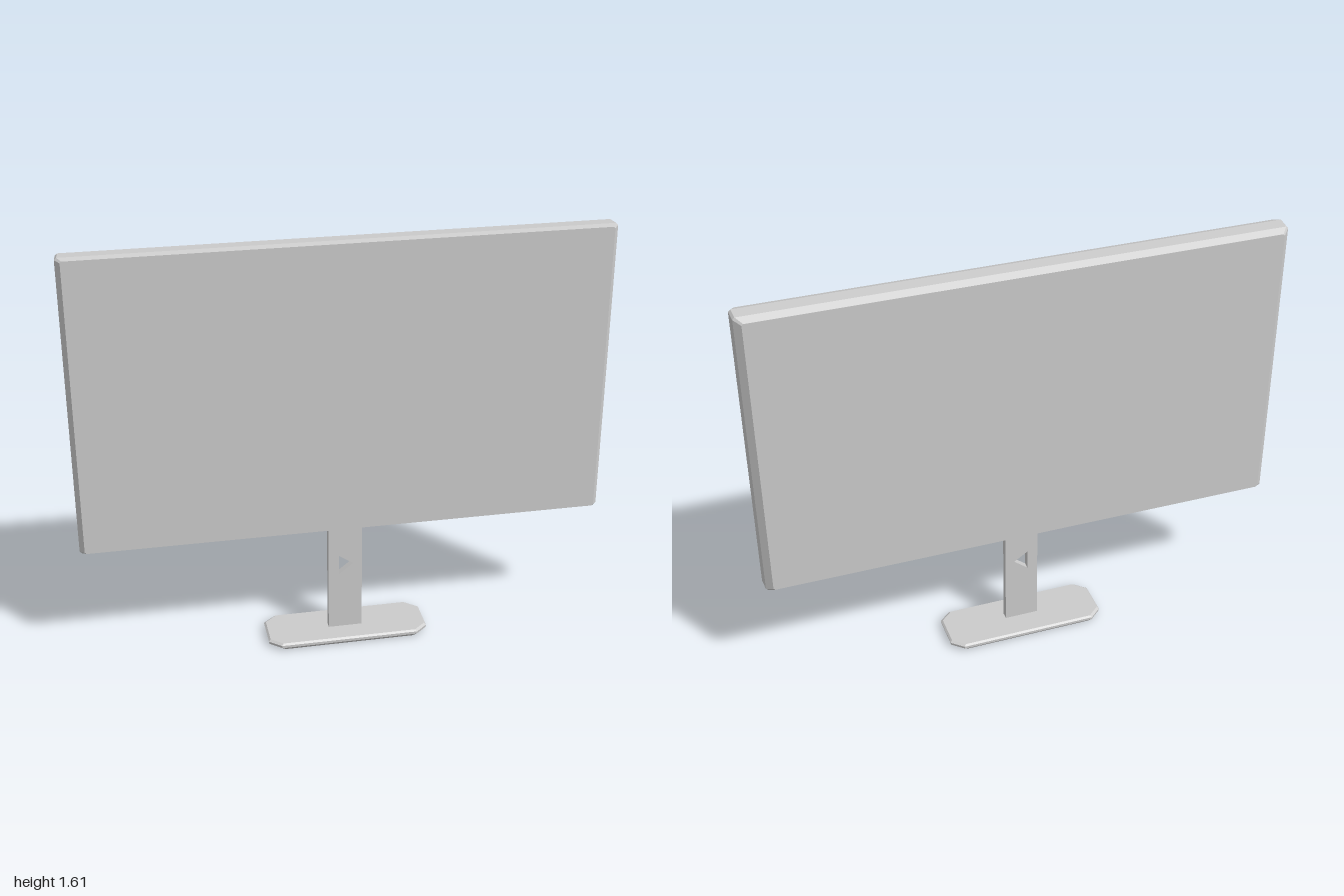
import * as THREE from 'three';

const material = new THREE.MeshStandardMaterial({ color: 0xcccccc, flatShading: true });

// Counter-clockwise rectangle with cut corners
function cutRect(hw, hh, cx, cy) {
  return [
    [hw, -hh + cy], [hw, hh - cy], [hw - cx, hh], [-hw + cx, hh],
    [-hw, hh - cy], [-hw, -hh + cy], [-hw + cx, -hh], [hw - cx, -hh],
  ];
}

// Solid lofted through layers { z, hw, hh, cx, cy }, ordered from low z to high z
function loft(layers) {
  const pos = [], index = [], n = 8;
  for (const l of layers) {
    for (const [x, y] of cutRect(l.hw, l.hh, l.cx, l.cy)) pos.push(x, y, l.z);
  }
  for (let k = 0; k < layers.length - 1; k++) {
    for (let i = 0; i < n; i++) {
      const a = k * n + i, b = k * n + (i + 1) % n;
      index.push(a, b, b + n, a, b + n, a + n);
    }
  }
  const top = (layers.length - 1) * n;
  for (let i = 1; i < n - 1; i++) {
    index.push(0, i + 1, i, top, top + i, top + i + 1);
  }
  const geo = new THREE.BufferGeometry();
  geo.setAttribute('position', new THREE.Float32BufferAttribute(pos, 3));
  geo.setIndex(index);
  const flat = geo.toNonIndexed();
  flat.computeVertexNormals();
  return flat;
}

function part(name, geometry) {
  const mesh = new THREE.Mesh(geometry, material);
  mesh.name = name;
  return mesh;
}

export function createModel() {
  const group = new THREE.Group();
  group.name = 'monitor';

  // Thin screen slab with chamfered front and back rims
  const panel = part('screenPanel', loft([
    { z: -0.07, hw: 0.972, hh: 0.556, cx: 0.006, cy: 0.006 },
    { z: -0.045, hw: 0.996, hh: 0.571, cx: 0.008, cy: 0.008 },
    { z: 0.008, hw: 1.0, hh: 0.573, cx: 0.008, cy: 0.008 },
    { z: 0.03, hw: 0.982, hh: 0.566, cx: 0.006, cy: 0.006 },
  ]));
  panel.position.y = 1.032;
  group.add(panel);

  // Upright neck with a triangular cable hole
  const outline = new THREE.Shape([
    [-0.068, 0.02], [0.063, 0.02], [0.063, 0.47], [-0.068, 0.47],
  ].map(([x, y]) => new THREE.Vector2(x, y)));
  outline.holes.push(new THREE.Path([
    [-0.027, 0.345], [-0.027, 0.265], [0.027, 0.308],
  ].map(([x, y]) => new THREE.Vector2(x, y))));
  const neck = new THREE.ExtrudeGeometry(outline, { depth: 0.027, bevelEnabled: false });
  neck.translate(0, 0, -0.007);
  group.add(part('neck', neck));

  // Flat foot with cut corners, narrowing underneath
  const foot = loft([
    { z: 0, hw: 0.285, hh: 0.098, cx: 0.035, cy: 0.035 },
    { z: 0.012, hw: 0.31, hh: 0.108, cx: 0.045, cy: 0.04 },
    { z: 0.022, hw: 0.312, hh: 0.108, cx: 0.045, cy: 0.04 },
    { z: 0.029, hw: 0.305, hh: 0.102, cx: 0.045, cy: 0.04 },
  ]);
  foot.rotateX(-Math.PI / 2);
  group.add(part('foot', foot));

  return group;
}
